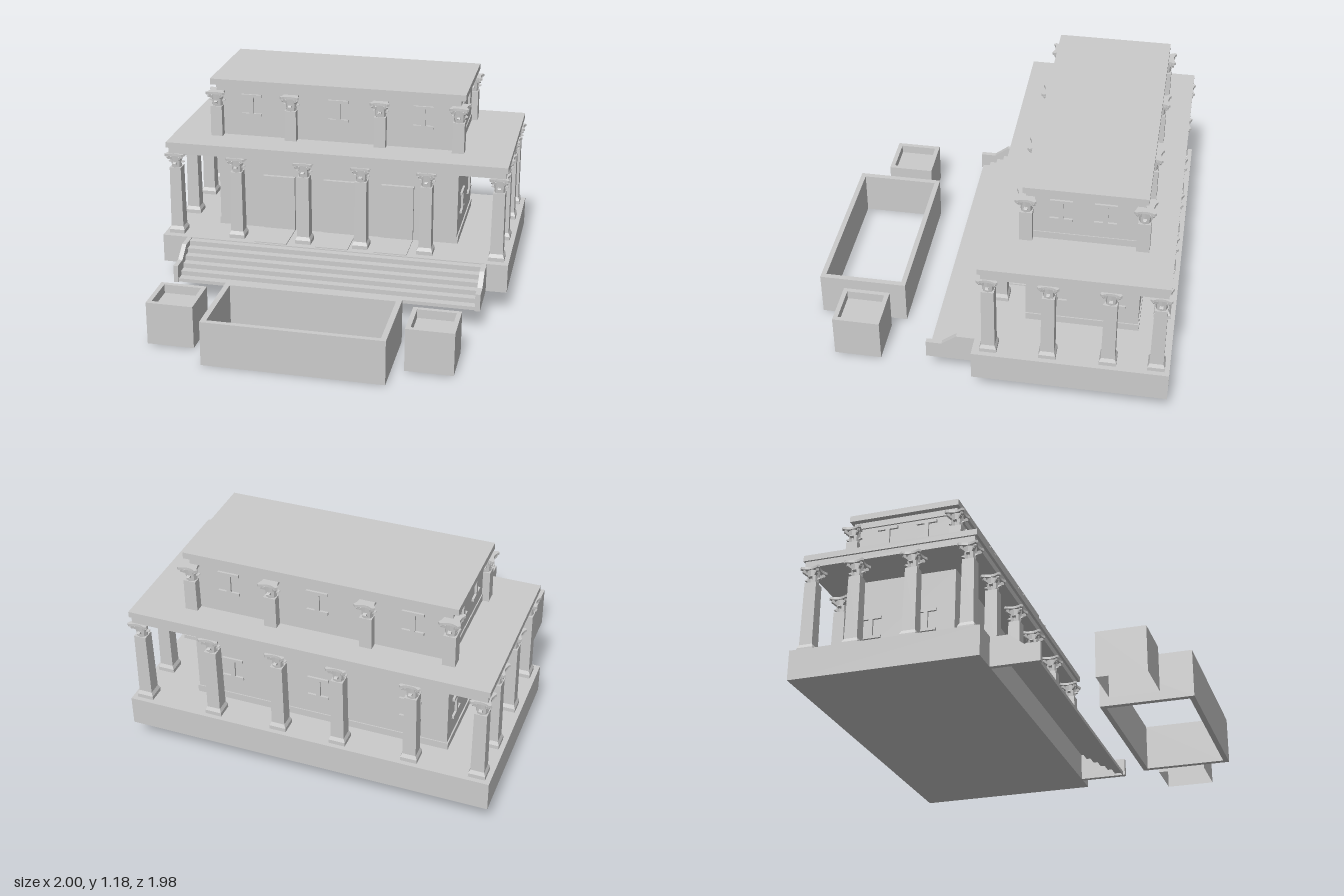
import * as THREE from 'three';

const grey = new THREE.MeshStandardMaterial({ color: 0xcccccc, flatShading: true, side: THREE.DoubleSide });

function add(parent, name, geometry) {
  const mesh = new THREE.Mesh(geometry, grey);
  mesh.name = name;
  parent.add(mesh);
  return mesh;
}

// Box given by its limits on each axis
function block(parent, name, x0, x1, y0, y1, z0, z1) {
  const mesh = add(parent, name, new THREE.BoxGeometry(x1 - x0, y1 - y0, z1 - z0));
  mesh.position.set((x0 + x1) / 2, (y0 + y1) / 2, (z0 + z1) / 2);
  return mesh;
}

// Four-sided turned form; profile is [half width, height]
function squareLathe(profile) {
  const pts = profile.map(([w, y]) => new THREE.Vector2(w * Math.SQRT2, y));
  return new THREE.LatheGeometry(pts, 4).rotateY(Math.PI / 4);
}

// Side profile in [z, y], extruded across x0..x1
function sideExtrude(points, x0, x1) {
  const shape = new THREE.Shape(points.map(([z, y]) => new THREE.Vector2(z, y)));
  return new THREE.ExtrudeGeometry(shape, { depth: x1 - x0, bevelEnabled: false })
    .rotateY(-Math.PI / 2).translate(x1, 0, 0);
}

// Abacus with projecting corners and hollowed sides
function abacusGeometry() {
  const shape = new THREE.Shape();
  const c = 0.056, n = 0.046;
  shape.moveTo(c, n);
  for (let i = 0; i < 4; i++) {
    const turn = (x, y) => {
      const a = i * Math.PI / 2;
      return [x * Math.cos(a) - y * Math.sin(a), x * Math.sin(a) + y * Math.cos(a)];
    };
    shape.lineTo(...turn(n, c));
    shape.quadraticCurveTo(...turn(0, 0.026), ...turn(-n, c));
    shape.lineTo(...turn(-c, n));
  }
  return new THREE.ExtrudeGeometry(shape, { depth: 0.014, bevelEnabled: false, curveSegments: 6 })
    .rotateX(-Math.PI / 2);
}

// Small leaf that rises along the bell and curls outwards
function leafGeometry(height, reach, width) {
  const profile = [[0.024, 0], [0.03, height * 0.65], [reach, height * 0.82],
    [reach - 0.002, height * 0.94], [0.032, height], [0.022, height]];
  return sideExtrude(profile, -width / 2, width / 2);
}

const abacus = abacusGeometry();
const lowLeaf = leafGeometry(0.035, 0.046, 0.018);
const highLeaf = leafGeometry(0.065, 0.05, 0.014);
const volute = new THREE.CylinderGeometry(0.01, 0.01, 0.012, 8).rotateZ(Math.PI / 2);

function column(parent, x, z, y0, y1, hasBase) {
  const group = new THREE.Group();
  group.name = 'column';
  group.position.set(x, 0, z);
  const neck = y1 - 0.088;
  const foot = hasBase
    ? [[0, y0], [0.045, y0], [0.045, y0 + 0.022], [0.036, y0 + 0.042]]
    : [[0, y0], [0.034, y0]];
  add(group, 'columnShaft', squareLathe([...foot, [0.033, neck], [0, neck]]));
  const bell = add(group, 'capitalBell', new THREE.CylinderGeometry(0.036, 0.03, 0.076, 8));
  bell.position.y = neck + 0.037;
  add(group, 'capitalAbacus', abacus).position.y = y1 - 0.014;
  for (let i = 0; i < 8; i++) {
    const a = i * Math.PI / 4;
    const leaf = add(group, 'capitalLeaf', i % 2 ? highLeaf : lowLeaf);
    leaf.position.y = neck;
    leaf.rotation.y = a;
    if (i % 2) {
      const scroll = add(group, 'capitalVolute', volute);
      scroll.position.set(0.052 * Math.sin(a), y1 - 0.024, 0.052 * Math.cos(a));
      scroll.rotation.y = a;
    }
  }
  parent.add(group);
}

// Raised window bars: a stem between two crosspieces
function windowBars(parent, x, y, z, turn) {
  const group = new THREE.Group();
  group.name = 'windowBars';
  block(group, 'topBar', -0.058, 0.058, 0.048, 0.064, -0.02, 0.012);
  block(group, 'bottomBar', -0.058, 0.058, -0.064, -0.048, -0.02, 0.012);
  block(group, 'stem', -0.012, 0.012, -0.048, 0.048, -0.02, 0.012);
  group.position.set(x, y, z);
  group.rotation.y = turn;
  parent.add(group);
}

export function createModel() {
  const model = new THREE.Group();
  model.name = 'temple';

  // Platform, lower hall and slabs
  block(model, 'platform', -1, 1, 0.125, 0.29, -0.99, 0.04);
  block(model, 'lowerHall', -0.72, 0.68, 0.29, 0.78, -0.8, -0.2);
  block(model, 'lowerPlinth', -0.727, 0.687, 0.29, 0.33, -0.806, -0.201);
  block(model, 'porchCeiling', -0.962, 0.962, 0.78, 0.817, -0.955, -0.01);
  block(model, 'porchRoof', -0.973, 0.973, 0.817, 0.85, -0.963, 0.005);

  // Upper storey
  block(model, 'upperHall', -0.715, 0.67, 0.85, 1.12, -0.785, -0.21);
  block(model, 'upperPlinth', -0.72, 0.675, 0.85, 0.89, -0.785, -0.211);
  block(model, 'upperArchitrave', -0.725, 0.68, 1.115, 1.15, -0.797, -0.198);
  block(model, 'upperRoof', -0.757, 0.708, 1.15, 1.185, -0.813, -0.183);

  // Doors with a thin slab in front of each
  for (const x of [-0.36, -0.003, 0.335]) {
    block(model, 'door', x - 0.094, x + 0.094, 0.29, 0.62, -0.21, -0.18);
    block(model, 'doorSlab', x - 0.094, x + 0.094, 0.285, 0.296, -0.18, 0.03);
  }

  // Columns round the porch and the upper storey
  const porchX = [-0.928, -0.567, -0.176, 0.155, 0.525, 0.928];
  for (const x of porchX) for (const z of [-0.045, -0.92]) column(model, x, z, 0.29, 0.78, true);
  for (const x of [-0.928, 0.928]) for (const z of [-0.355, -0.67]) column(model, x, z, 0.29, 0.78, true);
  for (const x of [-0.72, -0.285, 0.23, 0.674])
    for (const z of [-0.2, -0.797]) column(model, x, z, 0.85, 1.115, false);

  // Window bars
  for (const x of [-0.52, -0.015, 0.47]) {
    windowBars(model, x, 1.035, -0.21, 0);
    windowBars(model, x, 1.035, -0.785, Math.PI);
    windowBars(model, x, 0.5, -0.8, Math.PI);
  }
  for (const [y, zs, left, right] of [[0.5, [-0.36, -0.67], 0.68, -0.72], [1.038, [-0.375, -0.6], 0.67, -0.715]])
    for (const z of zs) {
      windowBars(model, left, y, z, Math.PI / 2);
      windowBars(model, right, y, z, -Math.PI / 2);
    }

  // Stairs as a thin folded sheet
  const heights = [0.145, 0.172, 0.2, 0.228, 0.256, 0.284];
  const fronts = [0.295, 0.25, 0.207, 0.164, 0.121, 0.078, 0.04];
  const upper = [[fronts[0], 0.125]];
  heights.forEach((y, i) => upper.push([fronts[i], y], [fronts[i + 1], y]));
  const lower = upper.map(([z, y], i) => [z - 0.006, i ? y - 0.006 : y]).reverse();
  add(model, 'stairs', sideExtrude([...upper, ...lower], -0.828, 0.855));

  // Stair cheeks
  const cheek = [[0.03, 0.125], [0.305, 0.125], [0.305, 0.225], [0.22, 0.225], [0.14, 0.288], [0.03, 0.288]];
  add(model, 'stairCheek', sideExtrude(cheek, -0.853, -0.827));
  add(model, 'stairCheek', sideExtrude(cheek, 0.855, 0.883));

  // Long open basin
  const rim = (x, z) => [[-x, -z], [x, -z], [x, z], [-x, z]].map(p => new THREE.Vector2(...p));
  const basin = new THREE.Shape(rim(0.488, 0.242));
  basin.holes.push(new THREE.Path(rim(0.458, 0.214)));
  add(model, 'basin', new THREE.ExtrudeGeometry(basin, { depth: 0.25, bevelEnabled: false })
    .rotateX(-Math.PI / 2)).position.set(0.003, 0, 0.745);

  // Square planters with a sunken floor, hollow underneath
  const planter = squareLathe([[0.129, 0.008], [0.129, 0.25], [0.104, 0.25], [0.104, 0.2], [0, 0.2]]);
  for (const x of [-0.7, 0.69]) add(model, 'planter', planter).position.set(x, 0, 0.703);

  return model;
}
